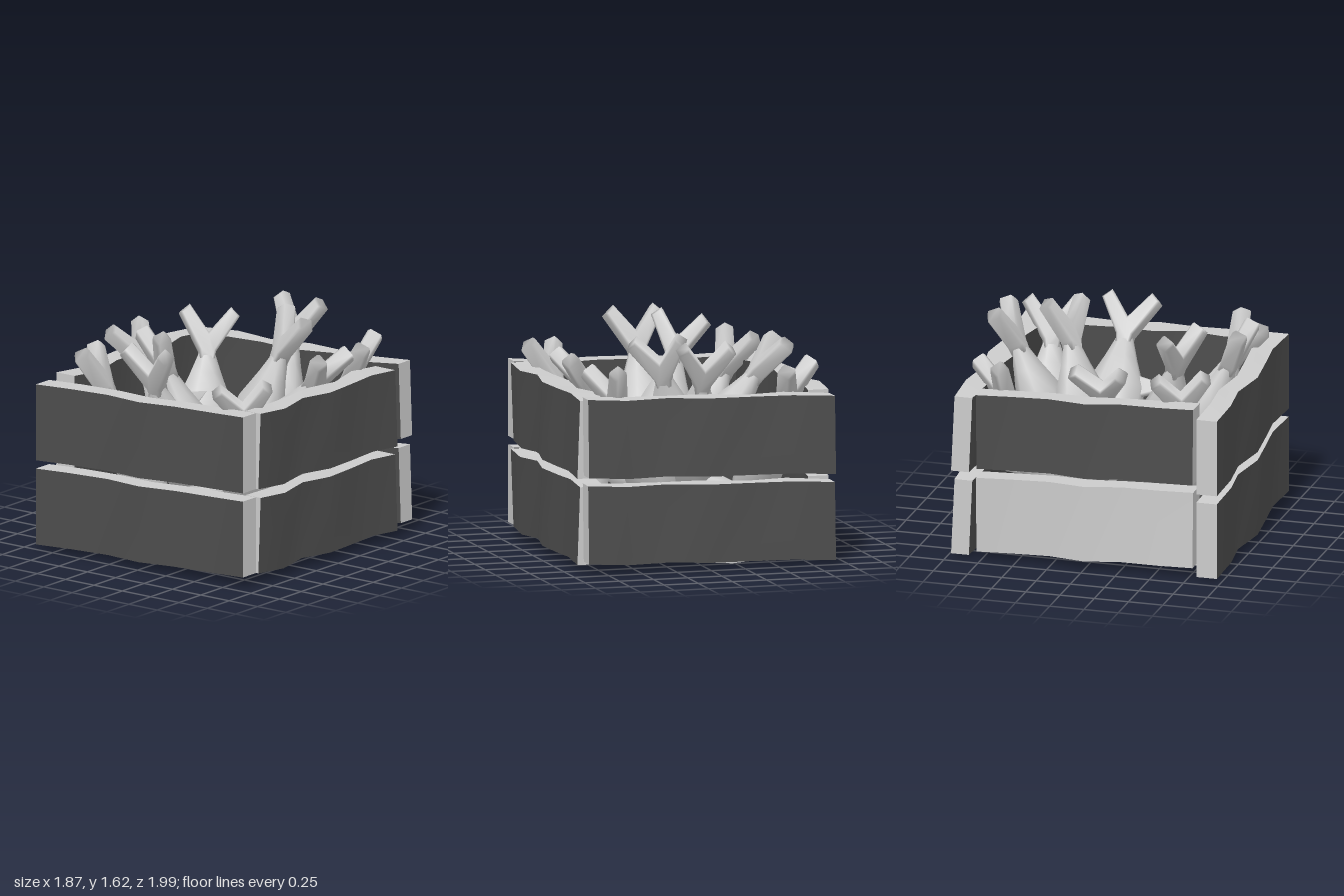
import * as THREE from 'three';
import { mergeVertices } from 'three/addons/utils/BufferGeometryUtils.js';

const pale = new THREE.MeshStandardMaterial({ color: 0xcccccc });
const dark = new THREE.MeshStandardMaterial({ color: 0x4d4d4d });

function addMesh(parent, geometry, name, material = pale) {
  const mesh = new THREE.Mesh(geometry, material);
  mesh.name = name;
  parent.add(mesh);
}

// Keep only some of the six sides of a box (+x, -x, +y, -y, +z, -z)
function pickSides(box, sides) {
  const index = Array.from(box.index.array);
  const part = box.clone();
  part.clearGroups();
  part.setIndex(sides.flatMap((s) => index.slice(box.groups[s].start, box.groups[s].start + box.groups[s].count)));
  part.computeVertexNormals();
  return part;
}

// Warped board along x: corner(station, isTop, isHighZ) gives each vertex; broad sides are dark, edges pale
const stations = 6;
function makeBoard(name, corner, { turn = 0, darkSides, paleSides }) {
  const box = new THREE.BoxGeometry(1, 1, 1, stations, 1, 1);
  const p = box.attributes.position;
  for (let i = 0; i < p.count; i++) {
    p.setXYZ(i, ...corner(Math.round((p.getX(i) + 0.5) * stations), p.getY(i) > 0, p.getZ(i) > 0));
  }
  box.rotateY(turn);
  const board = new THREE.Group();
  board.name = name;
  addMesh(board, pickSides(box, darkSides), 'boardFace', dark);
  addMesh(board, pickSides(box, paleSides), 'boardEdge');
  return board;
}

// Cross-sections of the fish body: [distance from tail joint, half height, half thickness]
const bodySections = [
  [0.04, 0.055, 0.05], [0, 0.058, 0.055], [-0.16, 0.12, 0.095], [-0.37, 0.212, 0.16],
  [-0.57, 0.212, 0.165], [-0.78, 0.15, 0.12], [-0.92, 0.05, 0.045],
];

function bodyGeometry(sides = 8) {
  const vertices = [], index = [];
  const rings = bodySections.length;
  for (const [y, w, t] of bodySections) {
    for (let i = 0; i < sides; i++) {
      const a = ((i + 0.5) / sides) * Math.PI * 2;
      vertices.push(Math.cos(a) * w, y, Math.sin(a) * t);
    }
  }
  for (let r = 0; r < rings - 1; r++) {
    for (let i = 0; i < sides; i++) {
      const a = r * sides + i, b = r * sides + (i + 1) % sides;
      index.push(a, b, a + sides, b, b + sides, a + sides);
    }
  }
  // End caps
  for (let i = 1; i < sides - 1; i++) {
    const last = (rings - 1) * sides;
    index.push(0, i + 1, i, last, last + i, last + i + 1);
  }
  const geometry = new THREE.BufferGeometry();
  geometry.setAttribute('position', new THREE.Float32BufferAttribute(vertices, 3));
  geometry.setIndex(index);
  geometry.computeVertexNormals();
  return geometry;
}

// Fin in the plane of the body, with soft bevelled edges
function finGeometry(points, thickness) {
  const bevel = 0.015;
  const shape = new THREE.Shape(points.map(([x, y]) => new THREE.Vector2(x, y)));
  const fin = new THREE.ExtrudeGeometry(shape, {
    depth: thickness - 2 * bevel, bevelThickness: bevel, bevelSize: bevel, bevelOffset: -bevel, bevelSegments: 1,
  });
  fin.translate(0, 0, bevel - thickness / 2);
  fin.deleteAttribute('normal');
  fin.deleteAttribute('uv');
  const smooth = mergeVertices(fin);
  smooth.computeVertexNormals();
  return smooth;
}

const body = bodyGeometry();
const tail = finGeometry([
  [-0.05, -0.06], [0.05, -0.06], [0.06, 0.01], [0.21, 0.27], [0.145, 0.33],
  [0, 0.14], [-0.145, 0.33], [-0.21, 0.27], [-0.06, 0.01],
], 0.115);
const dorsal = finGeometry([[0.16, -0.28], [0.16, -0.44], [0.41, -0.34]], 0.06);

// Fish hanging head down: joint of the tail, direction towards the tail, direction of the tail's span
function makeFish({ joint, up, span, fin, scale = 1, noTail }) {
  const fish = new THREE.Group();
  addMesh(fish, body, 'fishBody');
  if (!noTail) addMesh(fish, tail, 'fishTail');
  if (fin) addMesh(fish, dorsal, 'fishDorsalFin');
  const y = new THREE.Vector3(...up).normalize();
  const x = new THREE.Vector3(...span);
  x.addScaledVector(y, -x.dot(y)).normalize();
  fish.quaternion.setFromRotationMatrix(new THREE.Matrix4().makeBasis(x, y, x.clone().cross(y)));
  fish.position.set(...joint);
  fish.scale.setScalar(scale);
  fish.name = 'fish';
  return fish;
}

export function createModel() {
  const model = new THREE.Group();
  model.name = 'crateOfFish';
  const rowStep = 0.61, boardHeight = 0.55;

  // Front and back walls: z of the low and high side at each station, and how far the top leans
  const xs = [-0.92, -0.61, -0.31, 0, 0.3, 0.6, 0.89];
  const crossWalls = [
    ['frontBoard', [0.82, 0.83, 0.8, 0.84, 0.81, 0.77, 0.8], [0.97, 0.98, 0.94, 0.99, 0.96, 0.92, 0.95], 0],
    ['backBoard', [-0.97, -0.98, -0.95, -1, -0.96, -0.98, -0.99], [-0.84, -0.81, -0.85, -0.8, -0.86, -0.81, -0.86], 0.025],
  ];
  // Side walls: x of the low and high side, listed from front to back
  const zs = [0.785, 0.52, 0.26, 0, -0.27, -0.53, -0.79];
  const sideWalls = [
    ['rightBoard', [-0.9, -0.87, -0.9, -0.935, -0.87, -0.92, -0.9], [-0.74, -0.71, -0.76, -0.77, -0.73, -0.78, -0.75]],
    ['leftBoard', [0.77, 0.75, 0.77, 0.73, 0.77, 0.72, 0.74], [0.9, 0.92, 0.88, 0.93, 0.9, 0.9, 0.915]],
  ];
  for (const row of [0, 1]) {
    for (const [name, low, high, lean] of crossWalls) {
      model.add(makeBoard(name, (i, top, far) => {
        const lift = 0.024 * xs[i] + 0.008 * Math.sin(xs[i] * 9);
        return [xs[i], 0.055 + lift + row * rowStep + (top ? boardHeight : 0), (far ? high : low)[i] + (top ? lean : 0)];
      }, { darkSides: [4, 5], paleSides: [0, 1, 2, 3] }));
    }
    for (const [name, low, high] of sideWalls) {
      // The lower right board has a pale outer face
      const paleFace = name === 'rightBoard' && row === 0;
      model.add(makeBoard(name, (i, top, far) => {
        const lift = 0.012 * zs[i] + 0.008 * Math.sin(zs[i] * 9);
        const twist = top ? 0.025 * zs[i] : 0;
        return [-zs[i], 0.065 + lift + row * rowStep + (top ? boardHeight : 0), (far ? high : low)[i] + twist];
      }, {
        turn: Math.PI / 2,
        darkSides: paleFace ? [4] : [4, 5],
        paleSides: paleFace ? [0, 1, 2, 3, 5] : [0, 1, 2, 3],
      }));
    }
  }

  // Floor: three boards that wave up and down
  const wave = [0.04, 0.02, 0, 0.02, 0.045, 0.06, 0.04];
  [-0.74, -0.22, 0.29].forEach((z, n) => {
    model.add(makeBoard('floorBoard', (i, top, far) => [
      -0.72 + i * 0.243, wave[n === 1 ? stations - i : i] + (top ? 0.11 : 0), z + (far ? 0.485 : 0),
    ], { darkSides: [2, 3], paleSides: [0, 1, 4, 5] }));
  });

  // Fish: each appears twice, half a turn apart; drift moves both along z
  const fishes = [
    { joint: [0, 1.28, -0.77], up: [0, 0.9, -0.4], span: [1, 0, 0], drift: 0.01 },
    { joint: [0.17, 1.28, -0.43], up: [0.25, 0.9, -0.25], span: [0.89, 0, 0.45], drift: 0.01 },
    { joint: [-0.645, 1.19, 0.12], up: [-0.62, 0.78, 0], span: [0, 0, -1], fin: true, drift: -0.05 },
    { joint: [-0.65, 1.11, -0.63], up: [-0.22, 0.86, -0.38], span: [0.7, 0, -0.7], drift: -0.01 },
    { joint: [0.58, 1.13, -0.65], up: [0.43, 0.88, -0.1], span: [-0.38, 0, -0.9], drift: -0.04 },
    // Fish buried beneath the others
    { joint: [-0.32, 0.5, -0.69], up: [-0.48, 0.1, -0.87], span: [0.87, 0, -0.48], scale: 0.76, noTail: true, drift: -0.03 },
  ];
  for (const fish of fishes) {
    for (const turn of [0, Math.PI]) {
      const pivot = new THREE.Group();
      pivot.name = 'fishPlacement';
      pivot.add(makeFish(fish));
      pivot.rotation.y = turn;
      pivot.position.z = fish.drift;
      model.add(pivot);
    }
  }
  return model;
}
